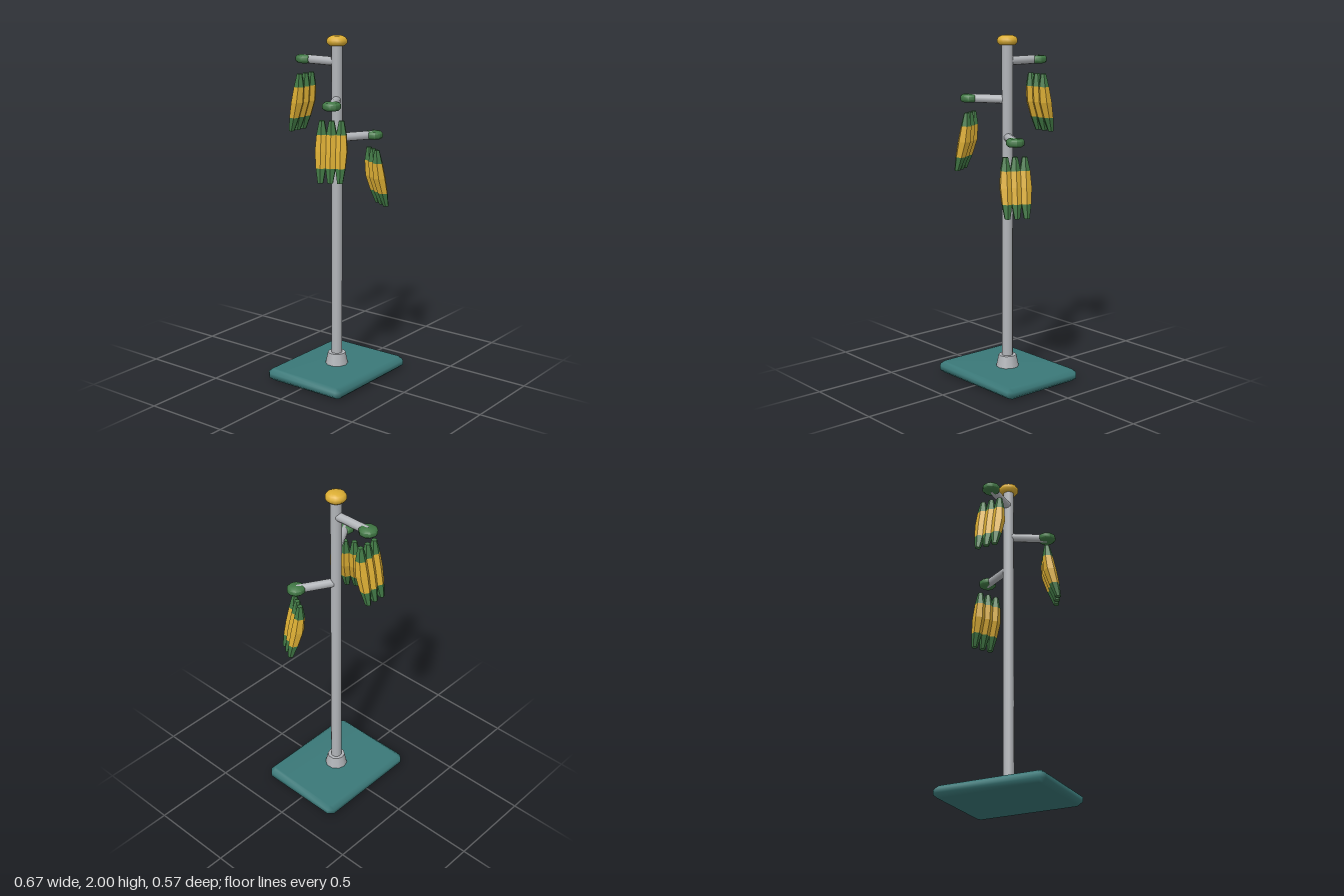
import * as THREE from 'three';
import { mergeGeometries, mergeVertices, toCreasedNormals } from 'three/addons/utils/BufferGeometryUtils.js';

const POLE_Z = 0.016;

function material(name, color) {
  const m = new THREE.MeshStandardMaterial({ color });
  m.name = name;
  return m;
}

function addMesh(parent, name, geometry, mat) {
  const mesh = new THREE.Mesh(geometry, mat);
  mesh.name = name;
  parent.add(mesh);
  return mesh;
}

function lathe(points, sides) {
  const pts = points.map(([r, y]) => new THREE.Vector2(r, y));
  return toCreasedNormals(new THREE.LatheGeometry(pts, sides), 0.9);
}

// Plate with cut corners and a chamfered rim, lying on y = 0
function plateGeometry(w, h, d, c) {
  const x = w / 2 - c, z = d / 2 - c, k = c * 0.6;
  const shape = new THREE.Shape([
    [x - k, -z], [x, -z + k], [x, z - k], [x - k, z],
    [-x + k, z], [-x, z - k], [-x, -z + k], [-x + k, -z],
  ].map(([a, b]) => new THREE.Vector2(a, b)));
  const bevel = 0.02;
  const geo = new THREE.ExtrudeGeometry(shape, {
    depth: h - 2 * bevel, bevelThickness: bevel, bevelSize: c, bevelSegments: 1,
  });
  geo.rotateX(-Math.PI / 2).translate(0, bevel, 0);
  geo.deleteAttribute('uv');
  geo.deleteAttribute('normal');
  const smooth = mergeVertices(geo, 1e-4);
  smooth.computeVertexNormals();
  return smooth;
}

// Cross-sections of one hanging fruit: [height, radius, distance from pole]
const RINGS = [
  [-0.08, 0.016, 0.225],
  [-0.155, 0.032, 0.229],
  [-0.245, 0.039, 0.242],
  [-0.335, 0.031, 0.265],
  [-0.415, 0.017, 0.286],
];

// Six-sided faceted slice between ring i and ring i + 1, sheared outwards
function fruitSlice(i) {
  const [y0, r0, z0] = RINGS[i], [y1, r1, z1] = RINGS[i + 1];
  const open = i > 0 && i < RINGS.length - 2;
  const geo = new THREE.CylinderGeometry(r0, r1, y0 - y1, 6, 1, open).toNonIndexed();
  geo.translate(0, (y0 + y1) / 2, 0);
  const p = geo.attributes.position;
  for (let v = 0; v < p.count; v++) {
    const t = (y0 - p.getY(v)) / (y0 - y1);
    p.setZ(v, p.getZ(v) + z0 + (z1 - z0) * t);
  }
  geo.computeVertexNormals();
  return geo;
}

export function createModel() {
  const teal = material('teal base', 0x3a7878);
  const grey = material('grey metal', 0xb2b5b9);
  const green = material('leaf green', 0x417845);
  const yellow = material('warm yellow', 0xdcae34);

  const model = new THREE.Group();
  model.name = 'fruitStand';

  // Base plate
  addMesh(model, 'basePlate', plateGeometry(0.67, 0.066, 0.536, 0.024), teal)
    .position.z = POLE_Z;

  // Pole with collar and knob
  const stand = new THREE.Group();
  stand.name = 'stand';
  stand.position.z = POLE_Z;
  model.add(stand);
  addMesh(stand, 'pole', new THREE.CylinderGeometry(0.032, 0.032, 1.9, 12).translate(0, 1.01, 0), grey);
  addMesh(stand, 'collar', new THREE.CylinderGeometry(0.052, 0.067, 0.072, 10).translate(0, 0.099, 0), grey);
  addMesh(stand, 'knob', lathe([
    [0, 1.945], [0.045, 1.945], [0.059, 1.96], [0.059, 1.976], [0.05, 1.99], [0.03, 1.999], [0, 2],
  ], 14), yellow);

  // Shared geometry for the three branches
  const armGeo = new THREE.CylinderGeometry(0.025, 0.025, 0.23, 10).rotateX(Math.PI / 2).translate(0, 0, 0.115);
  const discGeo = lathe([
    [0, -0.023], [0.04, -0.022], [0.052, -0.011], [0.052, 0.011], [0.04, 0.022], [0, 0.023],
  ], 10);
  const tipsGeo = mergeGeometries([fruitSlice(0), fruitSlice(3)]);
  const bodyGeo = mergeGeometries([fruitSlice(1), fruitSlice(2)]);

  // Branches: arm, end disc and a bunch of three fruits
  const branches = [
    ['backBranch', 1.855, Math.PI],
    ['rightBranch', 1.64, -Math.PI / 3],
    ['leftBranch', 1.425, Math.PI / 3],
  ];
  for (const [name, y, angle] of branches) {
    const branch = new THREE.Group();
    branch.name = name;
    branch.position.y = y;
    branch.rotation.y = angle;
    stand.add(branch);
    addMesh(branch, 'arm', armGeo, grey);
    addMesh(branch, 'endDisc', discGeo, green).position.z = 0.23;
    for (const side of [-1, 0, 1]) {
      const fruit = new THREE.Group();
      fruit.name = 'fruit';
      fruit.position.x = side * 0.054;
      branch.add(fruit);
      addMesh(fruit, 'fruitTips', tipsGeo, green);
      addMesh(fruit, 'fruitBody', bodyGeo, yellow);
    }
  }
  return model;
}
